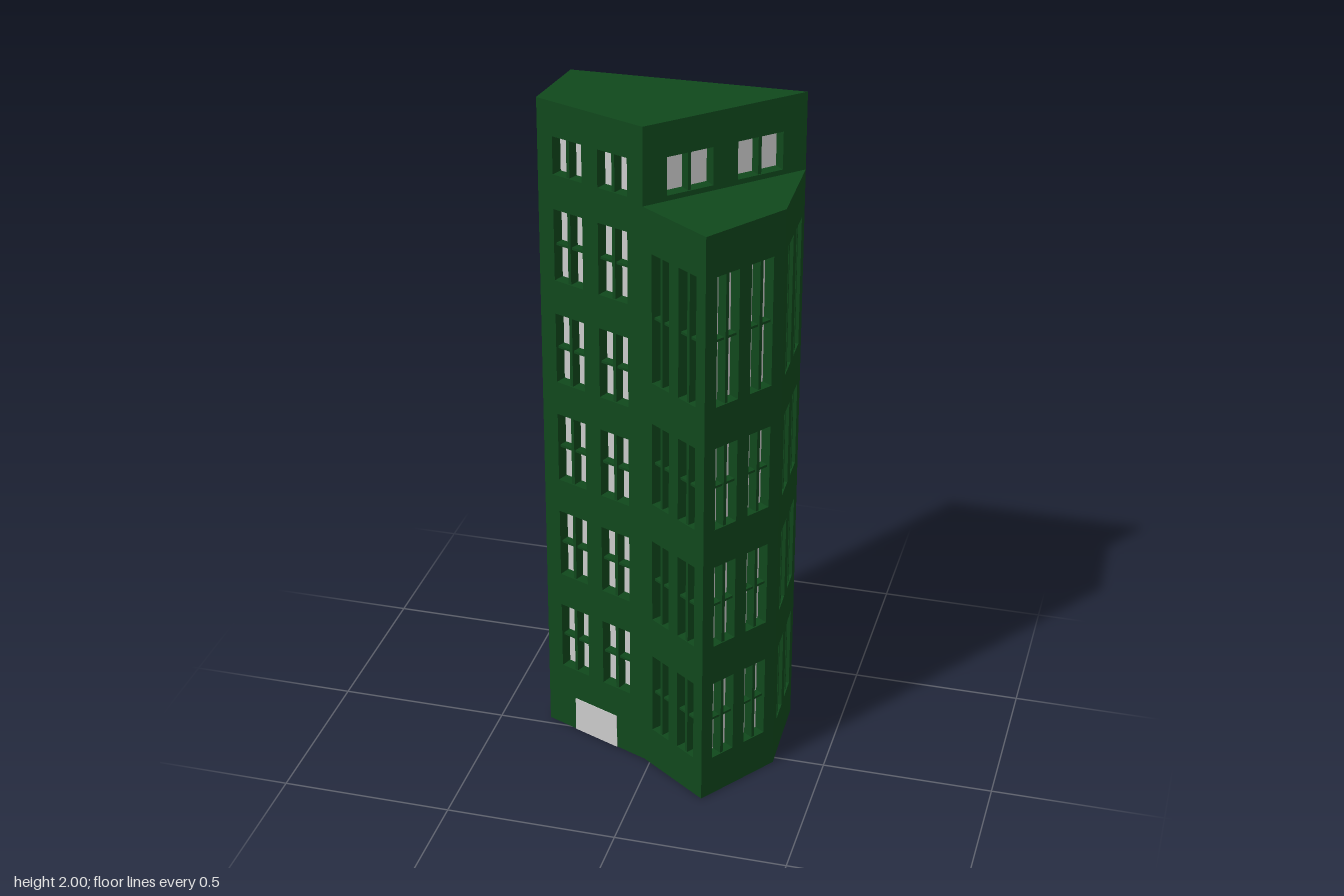
import * as THREE from 'three';

const green = new THREE.MeshStandardMaterial({ color: 0x10481c, side: THREE.DoubleSide });
const grey = new THREE.MeshStandardMaterial({ color: 0xcccccc, side: THREE.DoubleSide });

const TOP = 2, LOW = 1.775, RECESS = 0.035;
const COLUMNS = [[0.145, 0.425], [0.575, 0.855]]; // window spans as fractions of wall length

// footprint corners as [x, z]
const A = [-0.325, -0.257], B = [-0.353, -0.03], C = [-0.02, 0.106];
const D = [0.192, 0.256], E = [0.352, 0.023], F = [0.342, -0.259];

// window rows as [bottom, top]
const atticRow = [1.79, 1.9];
const sideRows = [atticRow, ...[0.21, 0.528, 0.845, 1.16, 1.475].map(y => [y, y + 0.213])];
const backRows = [0, 1, 2, 3, 4, 5].map(i => [0.095 + i * 0.317, 0.315 + i * 0.317]);
const lowRows = [[0.125, 0.38], [0.505, 0.765], [0.885, 1.14], [1.265, 1.65]];

function mesh(name, geometry, material, parent) {
  const m = new THREE.Mesh(geometry, material);
  m.name = name;
  parent.add(m);
  return m;
}

function rectangle(path, x0, x1, y0, y1) {
  path.moveTo(x0, y0);
  path.lineTo(x1, y0);
  path.lineTo(x1, y1);
  path.lineTo(x0, y1);
  path.closePath();
  return path;
}

// recessed window: reveal, glass, central mullion and crossbar
function addWindow(wall, x0, x1, y0, y1) {
  const win = new THREE.Group();
  win.name = 'window';
  wall.add(win);
  const w = x1 - x0, h = y1 - y0, cx = (x0 + x1) / 2, cy = (y0 + y1) / 2;
  const bar = (name, bw, bh, x, y, depth = RECESS) =>
    mesh(name, new THREE.BoxGeometry(bw, bh, depth), green, win).position.set(x, y, -RECESS + depth / 2);
  const t = 0.002;
  for (const s of [-1, 1]) {
    bar('sideReveal', t, h, cx + s * (w + t) / 2, cy);
    bar('headAndSillReveal', w, t, cx, cy + s * (h + t) / 2);
  }
  bar('mullion', 0.01, h, cx, cy, RECESS - 0.004);
  if (h > 0.15) bar('crossbar', w, 0.007, cx, cy, RECESS - 0.01);
  mesh('glass', new THREE.PlaneGeometry(w, h), grey, win).position.set(cx, cy, -RECESS);
}

// wall from p to q, outward side facing local +z
function addWall(parent, name, p, q, y0, y1, rows, door) {
  const dx = q[0] - p[0], dz = q[1] - p[1], length = Math.hypot(dx, dz);
  const wall = new THREE.Group();
  wall.name = name;
  wall.position.set(p[0], 0, p[1]);
  wall.rotation.y = Math.atan2(-dz, dx);
  parent.add(wall);
  const shape = rectangle(new THREE.Shape(), 0, length, y0, y1);
  for (const [b, t] of rows) {
    for (const [u0, u1] of COLUMNS) {
      shape.holes.push(rectangle(new THREE.Path(), u0 * length, u1 * length, b, t));
      addWindow(wall, u0 * length, u1 * length, b, t);
    }
  }
  mesh('wallFace', new THREE.ShapeGeometry(shape), green, wall);
  // flush door, visible from inside as well
  if (door) {
    const [u0, u1, h] = door;
    mesh('door', new THREE.BoxGeometry((u1 - u0) * length, h, 0.004), grey, wall)
      .position.set((u0 + u1) / 2 * length, h / 2, 0);
  }
}

function addRoof(parent, name, corners, y) {
  const shape = new THREE.Shape(corners.map(([x, z]) => new THREE.Vector2(x, -z)));
  const roof = mesh(name, new THREE.ShapeGeometry(shape), green, parent);
  roof.rotation.x = -Math.PI / 2;
  roof.position.y = y;
}

export function createModel() {
  const model = new THREE.Group();
  model.name = 'towerBlock';

  // tall wing
  addWall(model, 'entranceWall', B, C, 0, TOP, sideRows, [0.28, 0.715, 0.11]);
  addWall(model, 'backWall', F, A, 0, TOP, backRows);
  addWall(model, 'rightEndWall', A, B, 0, TOP, sideRows);
  addWall(model, 'atticWall', C, F, LOW, TOP, [atticRow]);
  addRoof(model, 'tallRoof', [A, B, C, F], TOP);

  // lower wing
  addWall(model, 'lowFrontWall', C, D, 0, LOW, lowRows);
  addWall(model, 'lowCornerWall', D, E, 0, LOW, lowRows);
  addWall(model, 'lowLeftWall', E, F, 0, LOW, lowRows);
  addRoof(model, 'lowRoof', [C, D, E, F], LOW);

  return model;
}
